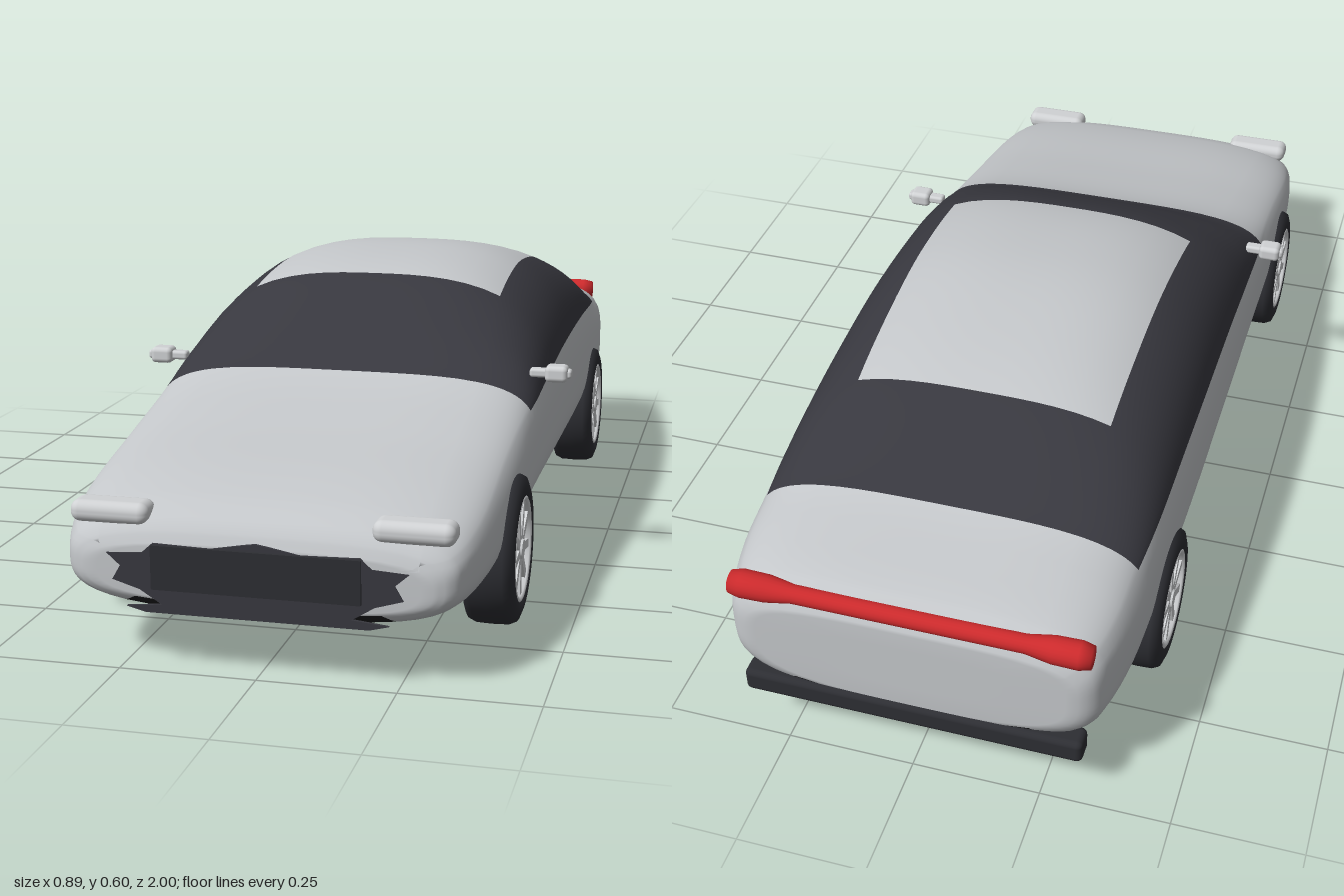
import * as THREE from 'three';
import { RoundedBoxGeometry } from 'three/addons/geometries/RoundedBoxGeometry.js';

const mat = (name, color) => {
  const m = new THREE.MeshStandardMaterial({ color });
  m.name = name;
  return m;
};

// Body stations, rear to front: z, half width, top y, bottom y, widest y, upper roundness
const KEYS = [
  [-0.99, 0.32, 0.345, 0.15, 0.25, 4],
  [-0.975, 0.345, 0.372, 0.125, 0.25, 4],
  [-0.94, 0.362, 0.395, 0.105, 0.255, 4],
  [-0.85, 0.38, 0.415, 0.095, 0.26, 4],
  [-0.75, 0.388, 0.44, 0.09, 0.265, 3.6],
  [-0.53, 0.392, 0.54, 0.083, 0.275, 3],
  [-0.3, 0.395, 0.588, 0.078, 0.28, 2.8],
  [-0.12, 0.395, 0.597, 0.077, 0.28, 2.8],
  [0.1, 0.395, 0.568, 0.077, 0.28, 2.8],
  [0.25, 0.394, 0.5, 0.078, 0.275, 3.2],
  [0.39, 0.393, 0.417, 0.08, 0.265, 4],
  [0.6, 0.39, 0.363, 0.083, 0.24, 4],
  [0.8, 0.383, 0.327, 0.088, 0.215, 3.6],
  [0.9, 0.37, 0.302, 0.095, 0.2, 3.4],
  [0.96, 0.352, 0.275, 0.103, 0.19, 3.2],
  [0.98, 0.335, 0.255, 0.112, 0.185, 3.2],
  [0.99, 0.31, 0.235, 0.125, 0.18, 3.2],
];

// Smooth interpolation between stations
function station(z) {
  let i = 0;
  while (i < KEYS.length - 2 && z > KEYS[i + 1][0]) i++;
  const a = KEYS[i], b = KEYS[i + 1], d = b[0] - a[0], t = (z - a[0]) / d;
  const p = KEYS[Math.max(i - 1, 0)], q = KEYS[Math.min(i + 2, KEYS.length - 1)];
  return a.map((v, k) => {
    const m0 = (b[k] - p[k]) / (b[0] - p[0]) * d, m1 = (q[k] - v) / (q[0] - a[0]) * d;
    const t2 = t * t, t3 = t2 * t;
    return (2 * t3 - 3 * t2 + 1) * v + (t3 - 2 * t2 + t) * m0 + (3 * t2 - 2 * t3) * b[k] + (t3 - t2) * m1;
  });
}

// Bands of a half section, from bottom centre to top centre: floor, side, glass, roof
const BANDS = [4, 14, 9, 7];
const HALF = BANDS.reduce((s, n) => s + n, 0);
const LOW = 3;

function ring(z, scale, dz) {
  const [, w, top, bot, yc, n] = station(z), h = top - yc;
  const other = (v, e) => Math.pow(1 - Math.pow(v, e), 1 / e);
  const belt = THREE.MathUtils.clamp((0.402 - 0.115 * (z + 0.25) ** 2 - yc) / h, 0.2, 0.7);
  const roof = (0.266 + 0.02 * z) / w;
  const stops = [
    -Math.PI / 2, -Math.atan2(0.862, other(0.862, LOW)),
    Math.atan2(belt, other(belt, n)), Math.atan2(other(roof, n), roof), Math.PI / 2,
  ];
  const pts = [];
  BANDS.forEach((count, b) => {
    for (let i = 0; i < count; i++) pts.push(THREE.MathUtils.lerp(stops[b], stops[b + 1], i / count));
  });
  pts.push(Math.PI / 2);
  const half = pts.map((f) => {
    const c = Math.abs(Math.cos(f)), s = Math.sin(f), e = s < 0 ? LOW : n;
    const r = scale / Math.pow(c ** e + Math.abs(s) ** e, 1 / e);
    return [r * c * w, yc + r * s * (s < 0 ? yc - bot : h), z + dz];
  });
  return half.concat(half.slice(1, -1).reverse().map(([x, y, k]) => [-x, y, k]));
}

function bodyGeometry() {
  // Stations fall exactly on the glass and roof panel edges
  const zs = [];
  const stops = [-0.99, -0.975, -0.94, -0.75, -0.53, 0.1, 0.39, 0.9, 0.96, 0.98, 0.99];
  const steps = [2, 3, 6, 8, 16, 10, 12, 4, 3, 3];
  steps.forEach((n, i) => {
    for (let k = 0; k < n; k++) zs.push(THREE.MathUtils.lerp(stops[i], stops[i + 1], k / n));
  });
  zs.push(0.99);
  const caps = [0, 0.5, 0.93];
  const rings = [
    ...caps.map((s) => ring(-0.99, s, -0.002)),
    ...zs.map((z) => ring(z, 1, 0)),
    ...caps.reverse().map((s) => ring(0.99, s, 0.002)),
  ];
  const N = HALF * 2, faces = [[], [], []];
  for (let i = 0; i < rings.length - 1; i++) {
    const k = i - 3, z = k >= 0 && k < zs.length - 1 ? (zs[k] + zs[k + 1]) / 2 : null;
    for (let j = 0; j < N; j++) {
      const m = j < HALF ? j : N - 1 - j;
      const band = m < 4 ? 0 : m < 18 ? 1 : m < 27 ? 2 : 3;
      let id = 0;
      if (z !== null) {
        if (band === 0) id = 2;
        else if (band >= 2 && z > -0.75 && z < 0.39) id = band === 3 && z > -0.53 && z < 0.1 ? 0 : 1;
      }
      const a = i * N + j, b = i * N + (j + 1) % N;
      faces[id].push(a, b, a + N, b, b + N, a + N);
    }
  }
  const g = new THREE.BufferGeometry();
  g.setAttribute('position', new THREE.Float32BufferAttribute(rings.flat(2), 3));
  g.setIndex(faces.flat());
  let start = 0;
  faces.forEach((f, id) => { g.addGroup(start, f.length, id); start += f.length; });
  g.computeVertexNormals();
  return g;
}

export function createModel() {
  const car = new THREE.Group();
  car.name = 'car';
  const paint = mat('silver paint', 0xc4c7ca), glass = mat('dark glass', 0x38383f);
  const under = mat('black underbody', 0x1d1d1f), rubber = mat('rubber', 0x2d2e33);
  const red = mat('red lamp', 0xcc2a2c), metal = mat('bright metal', 0xd0d2d4);
  const shade = mat('rim grey', 0xa9acb0);

  const add = (parent, name, geo, material, x = 0, y = 0, z = 0) => {
    const m = new THREE.Mesh(geo, material);
    m.name = name;
    m.position.set(x, y, z);
    parent.add(m);
    return m;
  };
  const rounded = (w, h, d, r) => new RoundedBoxGeometry(w, h, d, 4, r);

  add(car, 'body', bodyGeometry(), [paint, glass, under]);

  // Ragged intake opening with the grille panel in front
  const edge = [[0, 0.243], [0.08, 0.23], [0.185, 0.232], [0.205, 0.214], [0.27, 0.21], [0.245, 0.188],
    [0.26, 0.162], [0.21, 0.147], [0.17, 0.122], [0.235, 0.115], [0.2, 0.106]];
  const outline = edge.concat(edge.slice(1).reverse().map(([x, y]) => [-x, y]));
  const intake = new THREE.Shape(outline.map(([x, y]) => new THREE.Vector2(x, y)));
  add(car, 'intake', new THREE.ExtrudeGeometry(intake, { depth: 0.006, bevelEnabled: false }), glass, 0, 0, 0.988);
  add(car, 'grille', new THREE.BoxGeometry(0.374, 0.08, 0.03), rubber, 0, 0.19, 0.985);

  // Rear bumper and full-width tail lamp with thicker ends
  add(car, 'rearBumper', rounded(0.66, 0.05, 0.05, 0.012), rubber, 0, 0.132, -0.975);
  const bar = [[0, -0.345], [0.022, -0.342], [0.027, -0.32], [0.026, -0.27], [0.018, -0.22]];
  const lampProfile = bar.concat(bar.slice().reverse().map(([r, y]) => [r, -y]));
  const lamp = new THREE.LatheGeometry(lampProfile.map(([r, y]) => new THREE.Vector2(r, y)), 20);
  add(car, 'tailLamp', lamp, red, 0, 0.365, -0.973).rotation.z = Math.PI / 2;

  // Wheel parts, with the axle along y before turning
  const lathe = (pts) => new THREE.LatheGeometry(pts.map(([r, y]) => new THREE.Vector2(r, y)), 48);
  const tyreGeo = lathe([[0, -0.046], [0.12, -0.049], [0.136, -0.043], [0.142, -0.03], [0.143, 0],
    [0.142, 0.03], [0.136, 0.043], [0.12, 0.049], [0.1, 0.048], [0.096, 0.03]]);
  const rimGeo = lathe([[0.1, 0.034], [0.1, 0.047], [0.096, 0.049], [0.09, 0.046], [0.088, 0.032]]);
  const discGeo = new THREE.CylinderGeometry(0.097, 0.097, 0.01, 48);
  const hubGeo = new THREE.CylinderGeometry(0.018, 0.022, 0.016, 24);
  const spokeGeo = new THREE.BoxGeometry(0.074, 0.01, 0.017).translate(0.055, 0.039, 0);

  for (const side of [1, -1]) {
    for (const [name, z] of [['frontWheel', 0.61], ['rearWheel', -0.58]]) {
      const wheel = new THREE.Group();
      wheel.name = name;
      wheel.position.set(side * 0.356, 0.143, z);
      wheel.rotation.z = -side * Math.PI / 2;
      add(wheel, 'tyre', tyreGeo, rubber);
      add(wheel, 'rim', rimGeo, metal);
      add(wheel, 'rimDisc', discGeo, shade, 0, 0.03, 0);
      add(wheel, 'hub', hubGeo, metal, 0, 0.04, 0);
      for (let i = 0; i < 9; i++) add(wheel, 'spoke', spokeGeo, metal).rotation.y = i * Math.PI * 2 / 9;
      car.add(wheel);
    }
    // Head lamp and door mirror
    add(car, 'headLamp', rounded(0.145, 0.04, 0.06, 0.018), metal, side * 0.272, 0.274, 0.95);
    add(car, 'mirror', rounded(0.046, 0.033, 0.042, 0.01), metal, side * 0.417, 0.41, 0.287);
    add(car, 'mirrorArm', rounded(0.085, 0.018, 0.024, 0.006), metal, side * 0.405, 0.41, 0.287);
  }
  return car;
}
